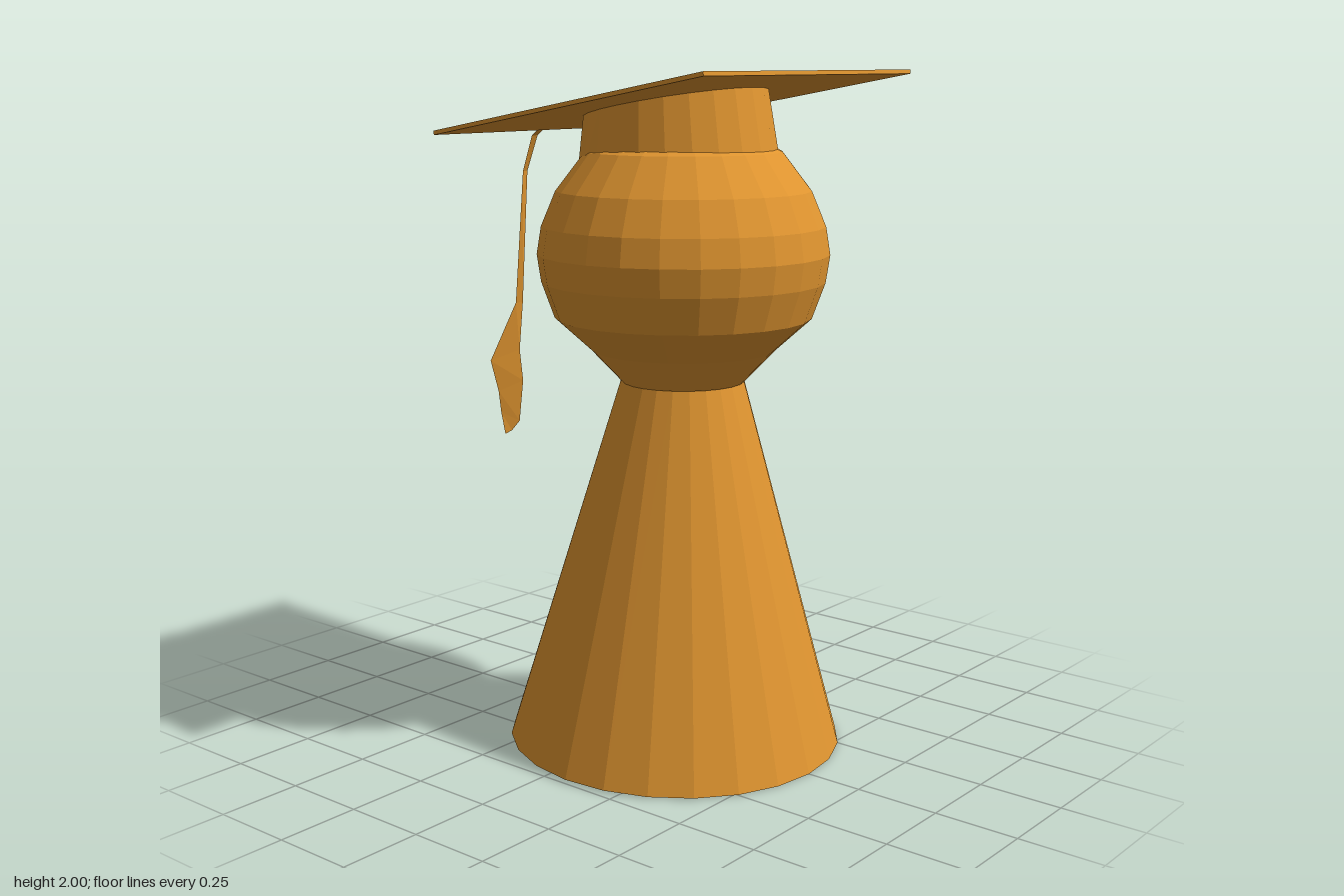
import * as THREE from 'three';

const SIDES = 24;
const BOARD_TILT = Math.atan2(0.17, 0.97);

// Closed, flat-shaded tube through tilted elliptical rings, listed bottom to top.
// ring = [centre y, centre z, radius x, radius z, rise in y per unit of z]
function loft(rings, cx) {
  const pos = [], index = [];
  for (const [y, cz, rx, rz, slope] of rings) {
    for (let i = 0; i < SIDES; i++) {
      const a = (i / SIDES) * Math.PI * 2;
      const dz = rz * Math.cos(a);
      pos.push(cx + rx * Math.sin(a), y + slope * dz, cz + dz);
    }
  }
  const top = rings.length - 1;
  for (let r = 0; r < top; r++) {
    for (let i = 0; i < SIDES; i++) {
      const j = (i + 1) % SIDES;
      const a = r * SIDES + i, b = r * SIDES + j, c = b + SIDES, d = a + SIDES;
      index.push(a, b, c, a, c, d);
    }
  }
  // end discs
  for (let i = 1; i < SIDES - 1; i++) {
    index.push(0, i + 1, i);
    index.push(top * SIDES, top * SIDES + i, top * SIDES + i + 1);
  }
  const g = new THREE.BufferGeometry();
  g.setAttribute('position', new THREE.Float32BufferAttribute(pos, 3));
  g.setIndex(index);
  g.computeVertexNormals();
  return g;
}

// Ribbon through pairs of edge points
function ribbon(pairs) {
  const index = [];
  for (let i = 0; i < pairs.length - 1; i++) {
    const a = i * 2;
    index.push(a, a + 1, a + 3, a, a + 3, a + 2);
  }
  const g = new THREE.BufferGeometry();
  g.setAttribute('position', new THREE.Float32BufferAttribute(pairs.flat(2), 3));
  g.setIndex(index);
  g.computeVertexNormals();
  return g;
}

export function createModel() {
  const group = new THREE.Group();
  const material = new THREE.MeshStandardMaterial({ color: 0xe09530, flatShading: true });
  const thin = material.clone();
  thin.side = THREE.DoubleSide;

  const add = (name, geometry, mat = material) => {
    const mesh = new THREE.Mesh(geometry, mat);
    mesh.name = name;
    group.add(mesh);
    return mesh;
  };

  // Conical body with a slightly tilted base
  add('body', loft([
    [0.01, 0.08, 0.497, 0.5, -0.02],
    [1.12, 0.107, 0.178, 0.178, 0],
  ], 0));

  // Round faceted head
  const headProfile = [
    [0.18, 1.105], [0.27, 1.2], [0.375, 1.295], [0.413, 1.4], [0.425, 1.48],
    [0.412, 1.56], [0.37, 1.66], [0.285, 1.77], [0.15, 1.84],
  ];
  add('head', loft(headProfile.map(([r, y]) => [y, 0.113, r, r * 0.995, 0]), -0.005));

  // Skullcap between head and board, following the board's tilt
  add('skullcap', loft([
    [1.735, 0.09, 0.277, 0.297, 0.085],
    [1.912, 0.08, 0.255, 0.27, 0.175],
  ], -0.003));

  // Square board
  const board = add('capBoard', new THREE.BoxGeometry(0.975, 0.012, 0.985));
  board.position.set(0.012, 1.908, 0.064);
  board.rotation.x = -BOARD_TILT;

  // Low button on the board
  const button = add('button', new THREE.SphereGeometry(0.1, 8, 4));
  button.scale.set(0.9, 0.22, 1.05);
  button.position.set(-0.02, 1.922, 0.107);
  button.rotation.x = -BOARD_TILT;

  // Tassel cord along the board and over its back edge
  add('tasselCord', ribbon([
    [[-0.03, 1.926, 0.1], [-0.005, 1.926, 0.1]],
    [[-0.03, 1.838, -0.41], [-0.005, 1.838, -0.41]],
    [[-0.03, 1.8, -0.46], [-0.005, 1.8, -0.46]],
    [[-0.03, 1.69, -0.5], [-0.005, 1.69, -0.505]],
    [[-0.032, 1.28, -0.537], [-0.008, 1.28, -0.53]],
  ]), thin);

  // Flared tassel end
  add('tasselEnd', ribbon([
    [[-0.032, 1.28, -0.537], [-0.008, 1.28, -0.53]],
    [[-0.105, 1.1, -0.58], [-0.02, 1.13, -0.535]],
    [[-0.08, 1.0, -0.572], [-0.012, 1.03, -0.53]],
    [[-0.07, 0.93, -0.572], [-0.02, 0.9, -0.54]],
    [[-0.06, 0.86, -0.565], [-0.04, 0.87, -0.555]],
  ]), thin);

  return group;
}
